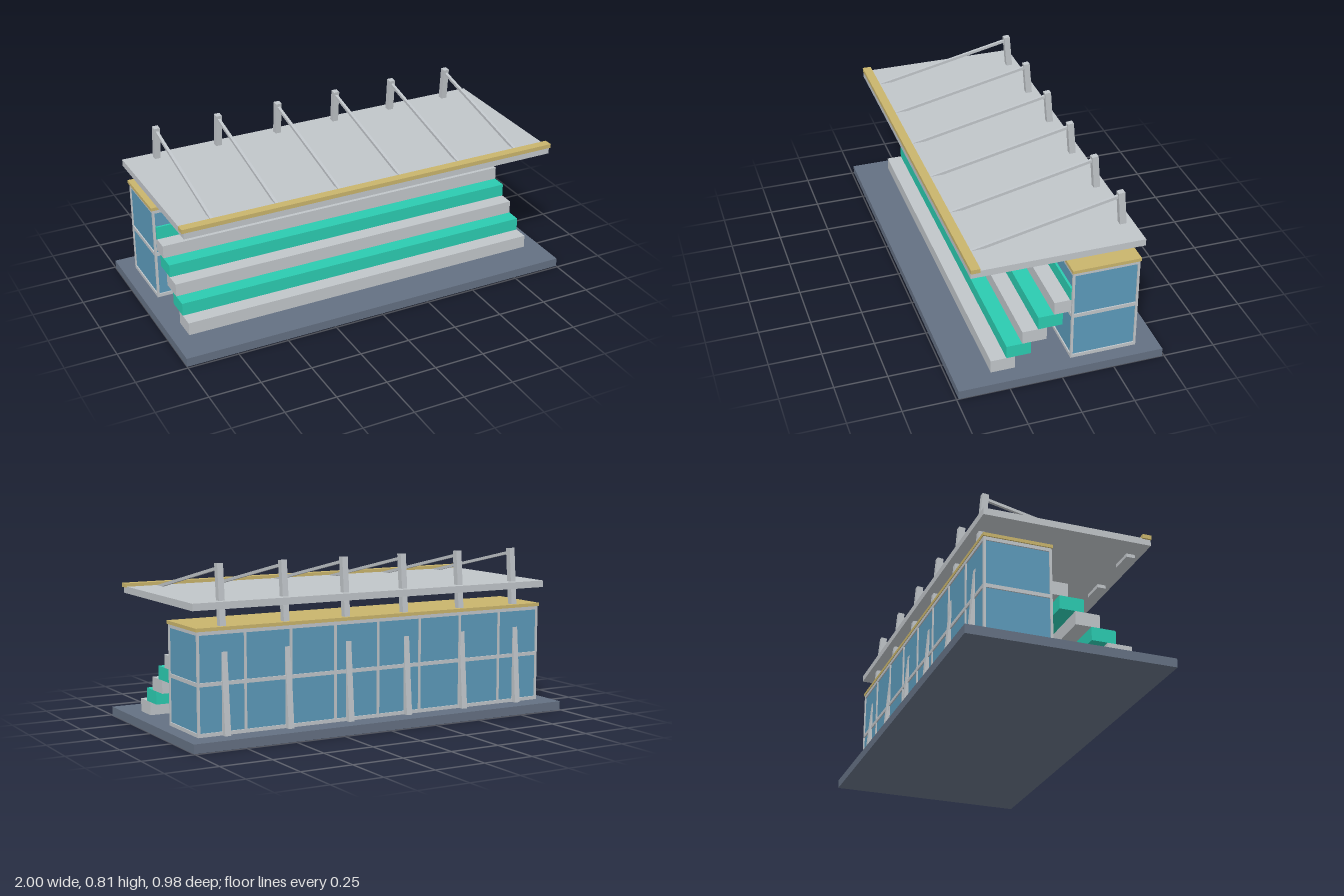
import * as THREE from 'three';

const mat = (name, color) => {
  const m = new THREE.MeshStandardMaterial({ color });
  m.name = name;
  return m;
};

export function createModel() {
  const slate = mat('slate', 0x647082);
  const concrete = mat('pale concrete', 0xc0c5c9);
  const green = mat('seat green', 0x2bcbb0);
  const glass = mat('blue glass', 0x5c9aba);
  const gold = mat('gold trim', 0xc9b46c);

  const model = new THREE.Group();
  model.name = 'grandstand';

  // Box given by its limits on each axis
  const box = (name, m, [x0, x1], [y0, y1], [z0, z1], parent = model) => {
    const mesh = new THREE.Mesh(new THREE.BoxGeometry(x1 - x0, y1 - y0, z1 - z0), m);
    mesh.position.set((x0 + x1) / 2, (y0 + y1) / 2, (z0 + z1) / 2);
    mesh.name = name;
    parent.add(mesh);
    return mesh;
  };

  // Slanted square bar in the YZ plane from a to b, each given as [y, z]
  const bar = (name, m, x, a, b, width, depth, parent) => {
    const dy = b[0] - a[0], dz = b[1] - a[1];
    const mesh = new THREE.Mesh(new THREE.BoxGeometry(width, Math.hypot(dy, dz), depth), m);
    mesh.position.set(x, (a[0] + b[0]) / 2, (a[1] + b[1]) / 2);
    mesh.rotation.x = Math.atan2(dz, dy);
    mesh.name = name;
    parent.add(mesh);
  };

  // Ground slab
  box('base', slate, [-1, 1], [0, 0.043], [-0.49, 0.49]);

  // Seating tiers, alternating concrete and green
  const tiers = new THREE.Group();
  tiers.name = 'seatingTiers';
  model.add(tiers);
  for (let i = 0; i < 6; i++) {
    const y = 0.043 + i * 0.064, front = 0.314 - i * 0.0745;
    box('tier', i % 2 ? green : concrete, [-0.918, 0.918], [y, y + 0.064], [front - 0.116, front], tiers);
  }

  // Glazed hall: glass core wrapped by a thin frame
  const hall = new THREE.Group();
  hall.name = 'hall';
  model.add(hall);
  const X = 0.932, ZF = -0.063, ZB = -0.383, Y0 = 0.043, Y1 = 0.517, t = 0.011, inset = 0.006;
  box('glazing', glass, [-X + inset, X - inset], [Y0, Y1 - 0.004], [ZB + inset, ZF - inset], hall);
  const rails = [[Y0, 0.06], [0.27, 0.288], [0.5, Y1]];
  for (const z of [ZB, ZF - t]) {
    for (const r of rails) box('longRail', concrete, [-X, X], r, [z, z + t], hall);
    for (let i = 0; i <= 8; i++) {
      const c = (i / 4 - 1) * (X - t / 2);
      box('mullion', concrete, [c - t / 2, c + t / 2], [Y0, Y1], [z, z + t], hall);
    }
  }
  for (const x of [-X, X - t])
    for (const r of rails) box('endRail', concrete, [x, x + t], r, [ZB, ZF], hall);
  box('hallRoof', gold, [-0.938, 0.938], [Y1, 0.533], [-0.386, -0.06], hall);

  // Canopy with its gold front edge
  box('canopy', concrete, [-0.955, 0.955], [0.612, 0.645], [-0.392, 0.415]);
  box('canopyTrim', gold, [-0.964, 0.964], [0.641, 0.661], [0.373, 0.416]);

  // Leaning masts, tie rods and lamp boxes under the canopy
  for (let i = 0; i < 6; i++) {
    const x = -0.797 + i * 0.3188;
    const support = new THREE.Group();
    support.name = 'support';
    model.add(support);
    bar('mast', concrete, x, [0.04, -0.394], [0.81, -0.328], 0.029, 0.031, support);
    bar('tieRod', concrete, x, [0.788, -0.322], [0.637, 0.373], 0.014, 0.014, support);
    box('lampBox', concrete, [x - 0.056, x + 0.056], [0.595, 0.613], [0.341, 0.383], support);
  }
  return model;
}
